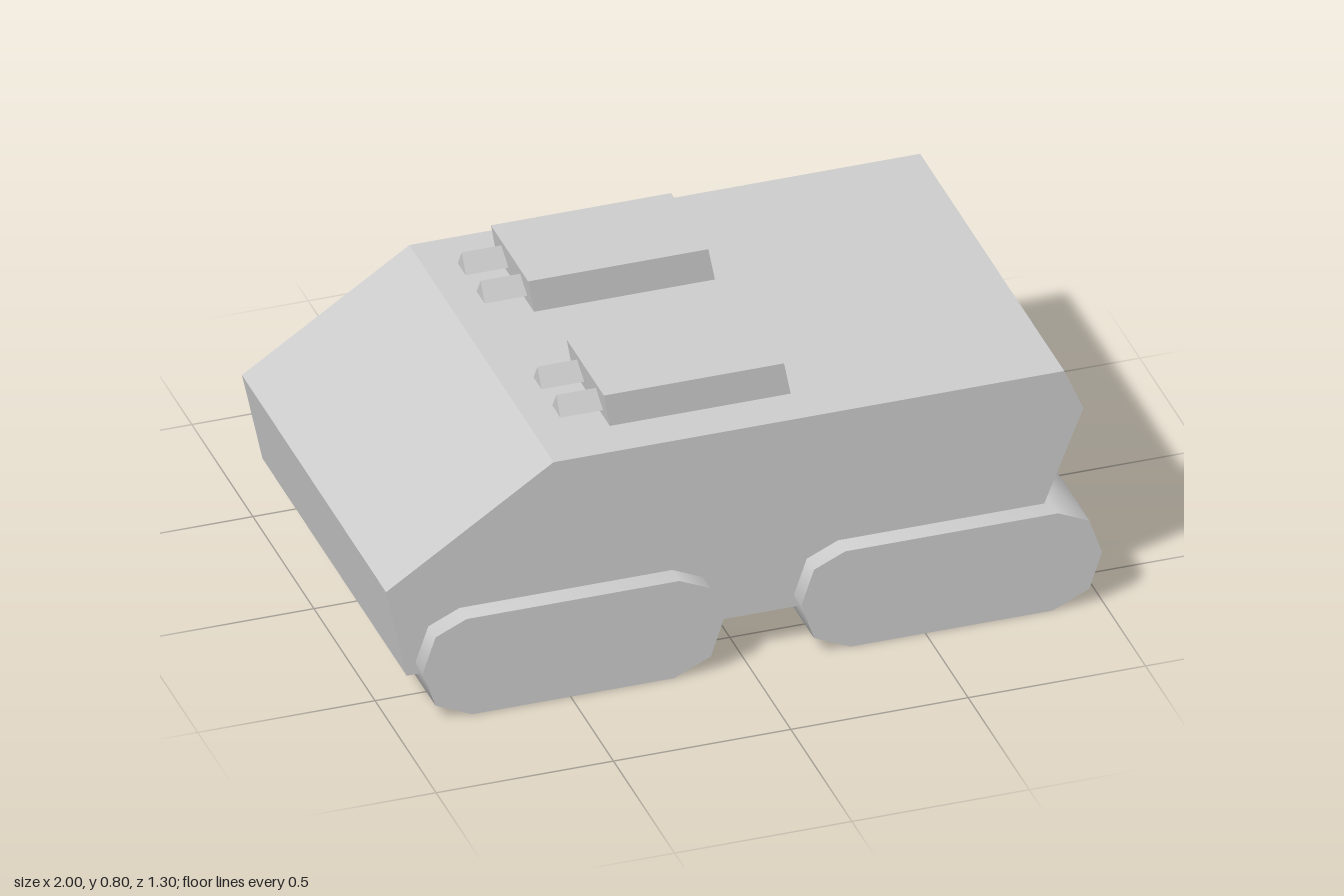
import * as THREE from 'three';
import { toCreasedNormals } from 'three/addons/utils/BufferGeometryUtils.js';

const grey = new THREE.MeshStandardMaterial({ color: 0xcccccc });

// Side profile (x, y) extruded along z, centred on z = 0
function slab(name, points, width, crease = 0.2) {
  const shape = new THREE.Shape(points.map(([x, y]) => new THREE.Vector2(x, y)));
  const geo = new THREE.ExtrudeGeometry(shape, { depth: width, bevelEnabled: false });
  geo.translate(0, 0, -width / 2);
  const mesh = new THREE.Mesh(toCreasedNormals(geo, crease), grey);
  mesh.name = name;
  return mesh;
}

// Track pod: long octagon-like loop with pointed ends, smooth round the rim
function track(name, x, z) {
  const right = [[0.3, 0.3], [0.388, 0.26], [0.424, 0.155], [0.388, 0.047], [0.285, 0]];
  const left = right.map(([px, py]) => [-px, py]).reverse();
  const mesh = slab(name, [...right, ...left], 0.28, 1.05);
  mesh.position.set(x, 0, z);
  return mesh;
}

// Low roof turret with a pair of triangular gun barrels
function turret(name, z) {
  const group = new THREE.Group();
  group.name = name;
  group.add(slab('turretBox', [[-0.325, 0.7], [0.185, 0.7], [0.166, 0.8], [-0.342, 0.8]], 0.305));
  for (const dz of [-0.077, 0.077]) {
    const shape = new THREE.Shape([[-0.033, 0.728], [0.033, 0.728], [0, 0.78]].map(([a, b]) => new THREE.Vector2(a, b)));
    const geo = new THREE.ExtrudeGeometry(shape, { depth: 0.12, bevelEnabled: false });
    geo.rotateY(Math.PI / 2).translate(-0.45, 0, dz);
    const barrel = new THREE.Mesh(geo, grey);
    barrel.name = 'gunBarrel';
    group.add(barrel);
  }
  group.position.z = z;
  return group;
}

export function createModel() {
  const model = new THREE.Group();
  model.name = 'armouredCarrier';

  // Wedge-nosed hull, nose towards -x
  model.add(slab('hull', [[-0.942, 0.118], [0.783, 0.118], [0.966, 0.576], [0.912, 0.702], [-0.528, 0.702], [-1, 0.39]], 1.18));

  // Two turrets and four track pods, mirrored across z
  for (const [side, s] of [['Front', 1], ['Back', -1]]) {
    model.add(turret('turret' + side, s * 0.31));
    model.add(track('noseTrack' + side, -0.493, s * 0.51));
    model.add(track('tailTrack' + side, 0.574, s * 0.51));
  }
  return model;
}
